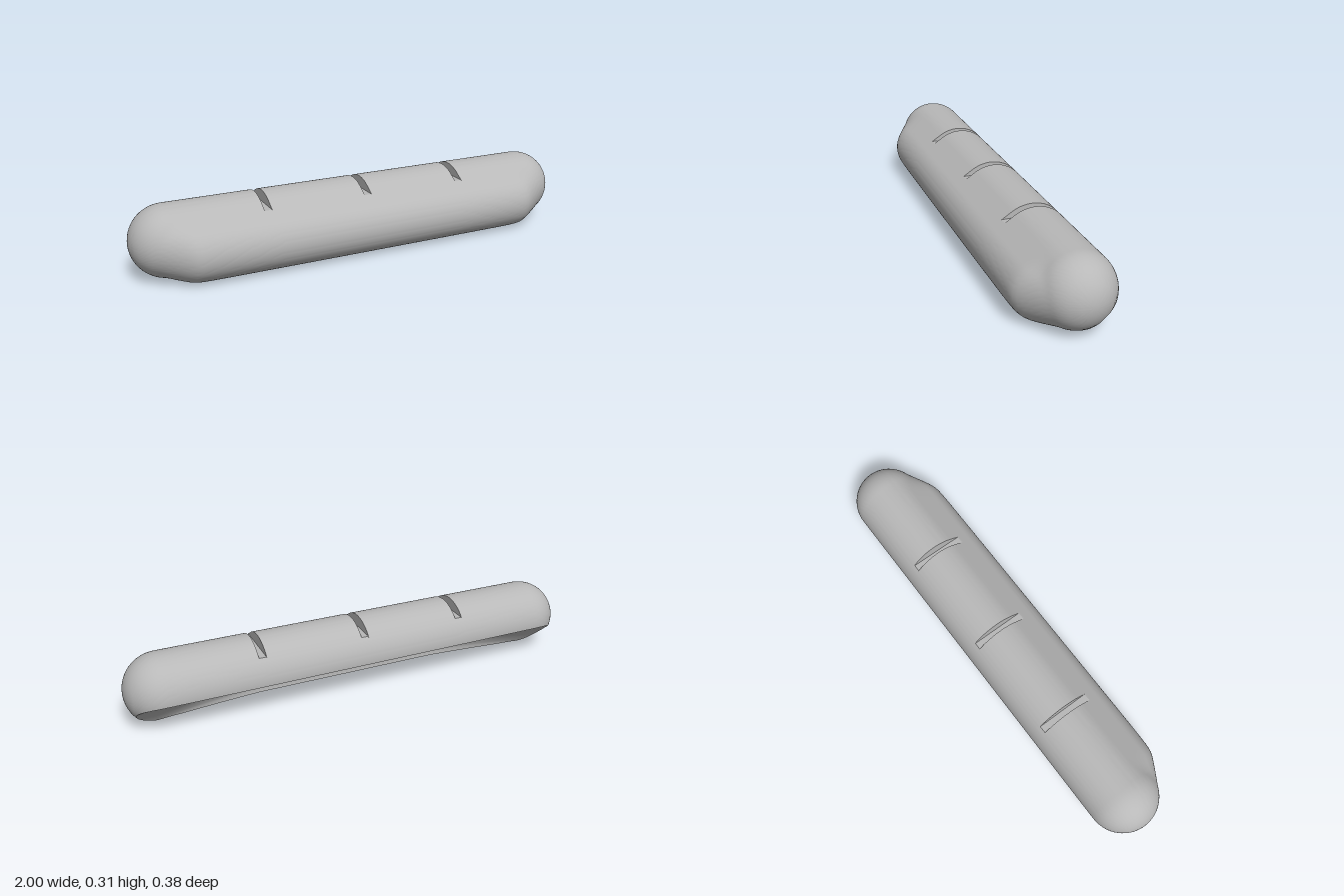
import * as THREE from 'three';
import { toCreasedNormals } from 'three/addons/utils/BufferGeometryUtils.js';

// Cross-section frame in (z, y): U runs across the grip groove, N points out of it
const C = [-0.036, 0.16], U = [-0.753, 0.658], N = [-0.658, -0.753];
const R = 0.152, HALF = 0.848;                 // main rounded bar
const LOW = [0.062, 0.128], LOW_R = 0.126;     // lower front roll
const SLOT_FLOOR = 0.262, SLOT_HALF = 0.016;
const lerp = THREE.MathUtils.lerp;

const toUW = ([z, y]) => [
  (z - C[0]) * U[0] + (y - C[1]) * U[1],
  (z - C[0]) * N[0] + (y - C[1]) * N[1],
];
const fromUW = (u, w) => [C[0] + u * U[0] + w * N[0], C[1] + u * U[1] + w * N[1]];

// Groove floor: deep along the middle, ramping to a shallow hollow at the ends
function groove(u, x) {
  const t = THREE.MathUtils.clamp((Math.abs(x) - 0.42) / 0.46, 0, 1);
  return lerp(0.02 + 4.1 * (u + 0.0376) ** 2, 0.093 + 1.25 * (u - 0.005) ** 2, t);
}

// The two circles whose hull is the outer outline at x
function circles(x) {
  const a = Math.abs(x), over = Math.max(0, a - HALF);
  const list = [[...C, Math.sqrt(Math.max(0, R * R - over * over))]];
  if (a < 0.936) {
    const d = a - 0.78, t = Math.min(1, (d + Math.sqrt(d * d + 0.0006)) / 2 / 0.156);
    list.push([lerp(LOW[0], C[0], t), lerp(LOW[1], C[1], t), lerp(LOW_R, 0.124, t)]);
  }
  return list;
}

// One closed section: outer outline from lip to lip, then the groove floor back
function section(x, slotted) {
  const cs = circles(x), start = Math.atan2(N[1], N[0]), steps = 240;
  const hull = [];
  for (let i = 0; i <= steps; i++) {
    const p = start + (i / steps) * Math.PI * 2, dz = Math.cos(p), dy = Math.sin(p);
    const reach = c => c[0] * dz + c[1] * dy + c[2];
    const c = cs.reduce((a, b) => (reach(b) > reach(a) ? b : a));
    hull.push([c[0] + c[2] * dz, c[1] + c[2] * dy]);
  }
  const gap = p => { const [u, w] = toUW(p); return groove(u, x) - w; };
  const mix = (a, b, t) => [lerp(a[0], b[0], t), lerp(a[1], b[1], t)];
  const cross = (a, b) => mix(a, b, gap(a) / (gap(a) - gap(b)));
  let first = 0, last = steps;
  while (first < steps && gap(hull[first]) < 0) first++;
  while (last > first && gap(hull[last]) < 0) last--;
  const arc = hull.slice(first, last + 1);
  if (first > 0) arc.unshift(cross(hull[first - 1], hull[first]));
  if (last < steps) arc.push(cross(hull[last], hull[last + 1]));

  // Even spacing along the outer arc
  const along = [0];
  for (let i = 1; i < arc.length; i++) {
    along.push(along[i - 1] + Math.hypot(arc[i][0] - arc[i - 1][0], arc[i][1] - arc[i - 1][1]));
  }
  const total = along[along.length - 1], loop = [];
  for (let k = 0, i = 1; k <= 96; k++) {
    const s = (total * k) / 96;
    while (i < arc.length - 1 && along[i] < s) i++;
    const [z, y] = mix(arc[i - 1], arc[i], (s - along[i - 1]) / (along[i] - along[i - 1] || 1));
    loop.push([x, slotted ? Math.min(y, SLOT_FLOOR) : y, z]);
  }
  const uA = toUW(arc[arc.length - 1])[0], uB = toUW(arc[0])[0];
  for (let k = 1; k < 24; k++) {
    const u = lerp(uA, uB, k / 24);
    const [z, y] = Math.abs(uA - uB) < 1e-4 ? arc[0] : fromUW(u, groove(u, x));
    loop.push([x, y, z]);
  }
  return loop;
}

// Skin the sections, keeping lips and slot edges sharp
function barGeometry() {
  const stations = [];
  for (let x = -0.84; x < 0.845; x += 0.02) stations.push([x, false]);
  for (let i = 0; i <= 16; i++) {
    const x = HALF + R * Math.sin((i / 16) * Math.PI / 2);
    stations.push([x, false], [-x, false]);
  }
  const slots = [-0.452, 0, 0.452];
  const rows = stations.filter(([x]) => !slots.some(s => Math.abs(x - s) < SLOT_HALF + 0.002));
  for (const s of slots) {
    const a = s - SLOT_HALF, b = s + SLOT_HALF;
    rows.push([a, false], [a, true], [b, true], [b, false]);
  }
  // Stable sort; each slot's doubled rows stay in the order given
  rows.sort((p, q) => p[0] - q[0]);
  const loops = rows.map(([x, slotted]) => section(x, slotted));
  const pos = [], A = new THREE.Vector3(), B = new THREE.Vector3(), D = new THREE.Vector3();
  const tri = (a, b, c) => {
    A.fromArray(a); B.fromArray(b).sub(A); D.fromArray(c).sub(A);
    if (B.cross(D).length() > 1e-10) pos.push(...a, ...b, ...c);
  };
  for (let r = 0; r < loops.length - 1; r++) {
    const a = loops[r], b = loops[r + 1], n = a.length;
    for (let i = 0; i < n; i++) {
      const j = (i + 1) % n;
      tri(a[i], b[i], b[j]);
      tri(a[i], b[j], a[j]);
    }
  }
  const g = new THREE.BufferGeometry();
  g.setAttribute('position', new THREE.Float32BufferAttribute(pos, 3));
  return toCreasedNormals(g, 0.5);
}

export function createModel() {
  const group = new THREE.Group();
  const grey = new THREE.MeshStandardMaterial({ color: 0xb8b8b8 });
  grey.name = 'grey';
  const paleGrey = new THREE.MeshStandardMaterial({ color: 0xdcdcdc });
  paleGrey.name = 'paleGrey';

  const bar = new THREE.Mesh(barGeometry(), grey);
  bar.name = 'gripBar';
  group.add(bar);

  // Round fixing points on the groove ramps
  for (const side of [-1, 1]) {
    const x = 0.59 * side, u = -0.08, e = 0.001;
    const du = (groove(u + e, x) - groove(u - e, x)) / (2 * e);
    const dx = (groove(u, x + e) - groove(u, x - e)) / (2 * e);
    const normal = new THREE.Vector3(-dx, N[1] - du * U[1], N[0] - du * U[0]).normalize();
    const [z, y] = fromUW(u, groove(u, x));
    const disc = new THREE.Mesh(new THREE.CylinderGeometry(0.03, 0.03, 0.008, 32), paleGrey);
    disc.name = side > 0 ? 'leftFixingPoint' : 'rightFixingPoint';
    disc.position.set(x, y, z).addScaledVector(normal, 0.001);
    disc.quaternion.setFromUnitVectors(new THREE.Vector3(0, 1, 0), normal);
    group.add(disc);
  }
  return group;
}
